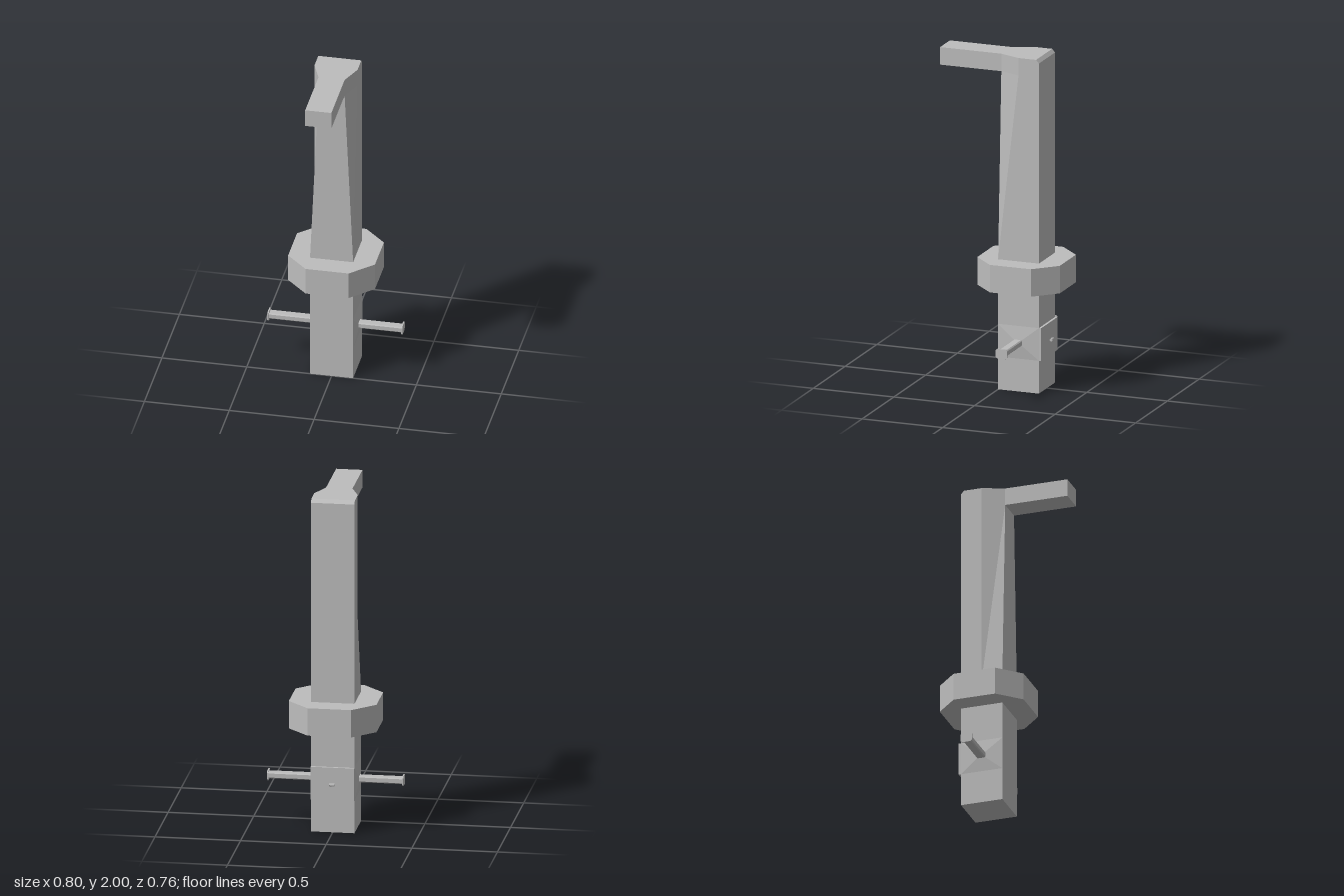
import * as THREE from 'three';

const grey = new THREE.MeshStandardMaterial({ color: 0xbdbdbd, flatShading: true });
grey.name = 'plain grey';

// Joins [y, [[x, z], ...]] sections, bottom to top, and caps both ends
function loft(sections) {
  const rings = sections.map(([y, pts]) => pts.map(([x, z]) => [x, y, z]));
  const n = rings[0].length;
  const pos = [];
  const tri = (a, b, c) => pos.push(...a, ...b, ...c);
  for (let r = 0; r < rings.length - 1; r++) {
    for (let i = 0; i < n; i++) {
      const j = (i + 1) % n;
      const lo = rings[r], hi = rings[r + 1];
      tri(lo[i], lo[j], hi[j]);
      tri(lo[i], hi[j], hi[i]);
    }
  }
  const first = rings[0], last = rings[rings.length - 1];
  for (let i = 1; i < n - 1; i++) {
    tri(last[0], last[i], last[i + 1]);
    tri(first[0], first[i + 1], first[i]);
  }
  const g = new THREE.BufferGeometry();
  g.setAttribute('position', new THREE.Float32BufferAttribute(pos, 3));
  g.computeVertexNormals();
  return g;
}

function add(parent, name, geometry, x = 0, y = 0, z = 0) {
  const mesh = new THREE.Mesh(geometry, grey);
  mesh.name = name;
  mesh.position.set(x, y, z);
  parent.add(mesh);
  return mesh;
}

// Rectangle section with cut corners
const cutRect = (a, b, c) => [
  [-a + c, -b], [-a, -b + c], [-a, b - c], [-a + c, b],
  [a - c, b], [a, b - c], [a, -b + c], [a - c, -b],
];
const rect = (a, b) => [[-a, -b], [-a, b], [a, b], [a, -b]];

export function createModel() {
  const model = new THREE.Group();
  model.name = 'post';
  const W = 0.127, MID = -0.1265;

  // Square post whose front corners are shaved away towards the top
  const shaft = (front, back) => [
    [-W, back], [-W, MID], [-front, 0], [front, 0], [W, MID], [W, back],
  ];
  add(model, 'shaft', loft([
    [0, shaft(W, -0.253)],
    [0.78, shaft(W, -0.253)],
    [1.895, shaft(0.077, -0.253)],
    [1.98, shaft(0.077, -0.253)],
    [2, shaft(0.077, -0.235)],
  ]));

  // Arm reaching forward from the top
  add(model, 'arm', new THREE.BoxGeometry(0.154, 0.105, 0.385), 0, 1.9475, 0.1875);

  // Eight-sided collar
  const octagon = cutRect(0.256, 0.256, 0.129);
  add(model, 'collar', loft([[0.615, octagon], [0.78, octagon]]), 0, 0, MID);

  // Plate and small pin on the back
  add(model, 'backPlate', new THREE.BoxGeometry(0.254, 0.197, 0.02), 0, 0.295, -0.257);
  const pin = add(model, 'backPin', new THREE.CylinderGeometry(0.009, 0.009, 0.03, 8), 0, 0.295, -0.284);
  pin.rotation.z = Math.PI / 2;

  // Side pegs, built pointing up and then turned outwards
  for (const side of [1, -1]) {
    const peg = new THREE.Group();
    peg.name = side > 0 ? 'leftPeg' : 'rightPeg';
    peg.position.set(0, 0.295, MID);
    peg.rotation.z = -side * Math.PI / 2;
    add(peg, 'boss', loft([[0.12, rect(0.098, 0.1265)], [W, rect(0.098, 0.1265)], [0.138, rect(0.018, 0.026)]]));
    const rod = cutRect(0.018, 0.026, 0.006);
    add(peg, 'rod', loft([[0.12, rod], [0.392, rod]]));
    const cap = cutRect(0.029, 0.036, 0.01);
    add(peg, 'cap', loft([[0.39, cap], [0.398, cap]]));
    model.add(peg);
  }
  return model;
}
